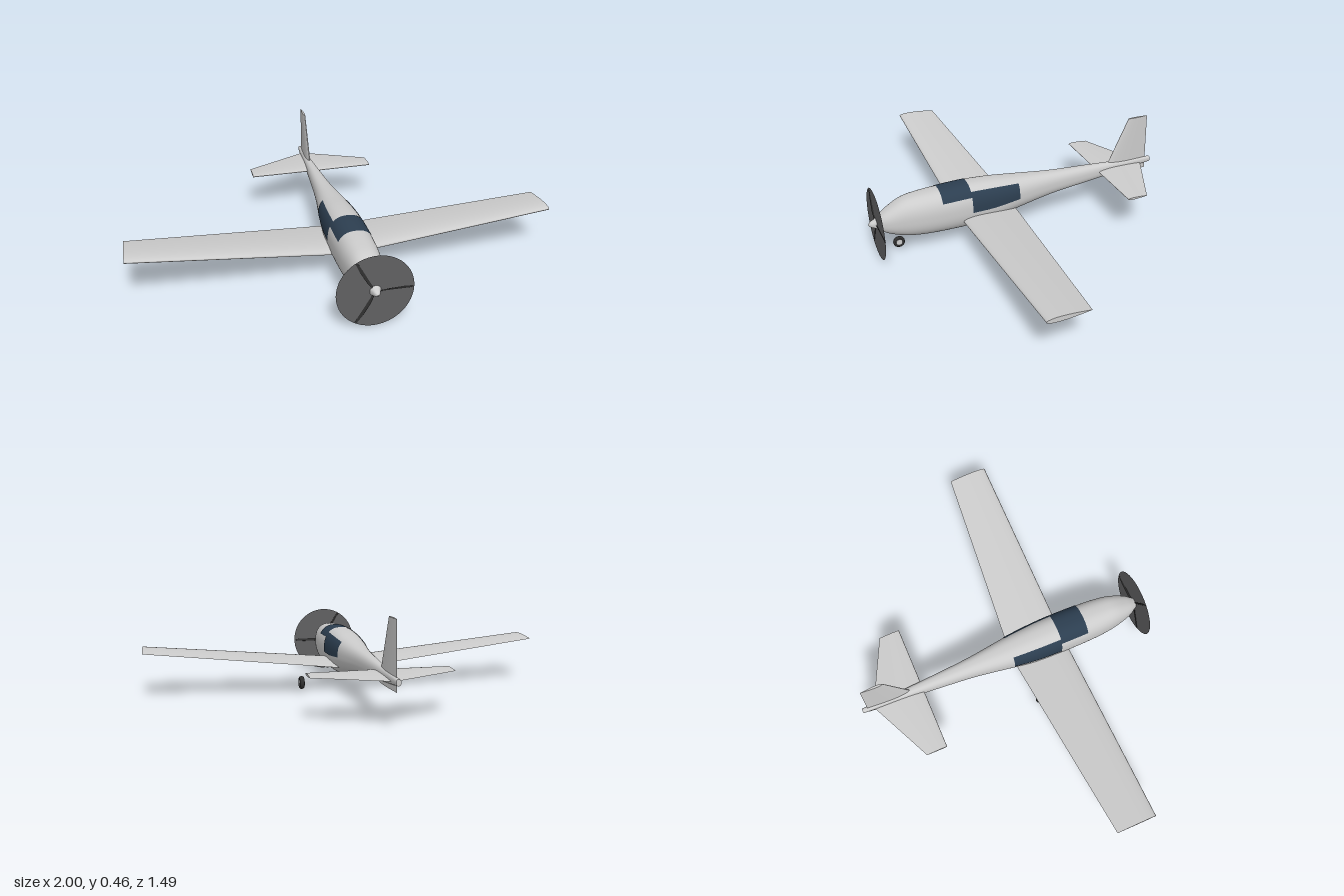
import * as THREE from 'three';

const mat = (name, color, double) => {
  const m = new THREE.MeshStandardMaterial({ color });
  m.name = name;
  if (double) m.side = THREE.DoubleSide;
  return m;
};

// Skin a list of equally long point rows; ends may be capped. Faces are turned outward.
function loft(rows, capped = true) {
  const n = rows[0].length, pos = [], idx = [];
  rows.forEach(r => r.forEach(p => pos.push(...p)));
  for (let i = 0; i < rows.length - 1; i++) {
    for (let j = 0; j < n - 1; j++) {
      const a = i * n + j, b = a + n;
      idx.push(a, a + 1, b, a + 1, b + 1, b);
    }
  }
  if (capped) {
    [rows[0], rows[rows.length - 1]].forEach((r, end) => {
      const c = pos.length / 3;
      const mid = [0, 1, 2].map(k => r.reduce((s, p) => s + p[k], 0) / n);
      pos.push(...mid);
      r.forEach(p => pos.push(...p));
      for (let j = 1; j < n; j++) idx.push(c, end ? c + j : c + j + 1, end ? c + j + 1 : c + j);
    });
  }
  // signed volume decides the winding
  let vol = 0;
  const v = i => new THREE.Vector3().fromArray(pos, idx[i] * 3);
  for (let i = 0; i < idx.length; i += 3) vol += v(i).dot(v(i + 1).cross(v(i + 2)));
  if (vol < 0) idx.reverse();
  const g = new THREE.BufferGeometry();
  g.setAttribute('position', new THREE.Float32BufferAttribute(pos, 3));
  g.setIndex(idx);
  g.computeVertexNormals();
  return g;
}

// Symmetric aerofoil loop from trailing edge round the nose and back: [u along chord, half thickness]
function aerofoil(thick, steps = 14) {
  const pts = [];
  for (let i = -steps; i <= steps; i++) {
    const u = (1 - Math.cos(Math.PI * i / steps)) / 2;
    const t = 5 * thick * (0.2969 * Math.sqrt(u) - 0.126 * u - 0.3516 * u * u + 0.2843 * u ** 3 - 0.1036 * u ** 4);
    pts.push([u, i < 0 ? t : -t]);
  }
  return pts;
}

// Fuselage stations: z, top y, bottom y, half width
const stations = [
  [0.747, 0.173, 0.171, 0.001], [0.735, 0.185, 0.159, 0.013], [0.71, 0.197, 0.148, 0.024],
  [0.663, 0.232, 0.118, 0.051], [0.584, 0.273, 0.09, 0.073], [0.504, 0.286, 0.078, 0.084],
  [0.408, 0.291, 0.073, 0.089], [0.265, 0.295, 0.072, 0.09], [0.145, 0.289, 0.078, 0.086],
  [0.018, 0.275, 0.107, 0.074], [-0.173, 0.256, 0.138, 0.048], [-0.372, 0.245, 0.157, 0.032],
  [-0.57, 0.234, 0.178, 0.019], [-0.743, 0.225, 0.197, 0.011],
];
const upper = new THREE.SplineCurve(stations.map(s => new THREE.Vector2(s[0], s[1])));
const lower = new THREE.SplineCurve(stations.map(s => new THREE.Vector2(s[2], s[3])));

// Point on the squarish fuselage skin at station s; angle runs from the top round to the left
function skin(s, angle, off = 0) {
  const t = s / (stations.length - 1);
  const { x: z, y: top } = upper.getPoint(t), { x: bottom, y: w } = lower.getPoint(t);
  const round = c => Math.sign(c) * Math.abs(c) ** 0.82;
  const h = (top - bottom) / 2 + off;
  return [(w + off) * round(Math.sin(angle)), (top + bottom) / 2 + h * round(Math.cos(angle)), z];
}

function skinPatch(s0, s1, a0, a1, off, capped) {
  const ns = Math.round((s1 - s0) * 6), na = Math.ceil(Math.abs(a1 - a0) * 11);
  const rows = [];
  for (let i = 0; i <= ns; i++) {
    const row = [];
    for (let j = 0; j <= na; j++) row.push(skin(s0 + (s1 - s0) * i / ns, a0 + (a1 - a0) * j / na, off));
    rows.push(row);
  }
  return loft(rows, capped);
}

export function createModel() {
  const model = new THREE.Group();
  model.name = 'aeroplane';
  const body = mat('bodyGrey', 0xcccccc);
  const glass = mat('windowBlue', 0x2c3e50, true);
  const discGrey = mat('propellerDiscGrey', 0x606062, true);
  const dark = mat('darkRubber', 0x2e2e2e);
  const add = (name, geo, material, parent = model) => {
    const m = new THREE.Mesh(geo, material);
    m.name = name;
    parent.add(m);
    return m;
  };

  // Fuselage and windows
  add('fuselage', skinPatch(0, stations.length - 1, -Math.PI, Math.PI, 0, true), body);
  add('windscreen', skinPatch(6, 7, -1.03, 1.03, 0.002, false), glass);

  for (const side of [1, -1]) {
    const label = side > 0 ? 'left' : 'right';
    add(label + 'Window', skinPatch(7, 9, side * 0.73, side * 1.63, 0.002, false), glass);

    // Wing: straight leading edge, tapered trailing edge, dihedral
    const wing = [[0, 0.122, 0.03, 0.042], [1, 0.221, 0.117, 0.024]].map(([x, y, te, th]) =>
      aerofoil(th).map(([u, t]) => [side * x, y + t, 0.312 + (te - 0.312) * u]));
    add(label + 'Wing', loft(wing), body);

    // Tailplane
    const tail = [[0, -0.69, 0.02], [0.32, -0.54, 0.011]].map(([x, te, th]) =>
      aerofoil(th).map(([u, t]) => [side * x, 0.205 + t, -0.438 + (te + 0.438) * u]));
    add(label + 'Tailplane', loft(tail), body);
  }

  // Fin
  const fin = [[0.165, -0.468, -0.72, 0.022], [0.462, -0.604, -0.711, 0.011]].map(([y, le, te, th]) =>
    aerofoil(th).map(([u, t]) => [t, y, le + (te - le) * u]));
  add('fin', loft(fin), body);

  // Propeller: spinning disc and three twisted blades
  const propeller = new THREE.Group();
  propeller.name = 'propeller';
  propeller.position.set(0, 0.17, 0.71);
  model.add(propeller);
  add('propellerDisc', new THREE.CircleGeometry(0.17, 64), discGrey, propeller);
  const blade = loft([[0.015, 0.012, 0.8], [0.06, 0.022, 0.6], [0.12, 0.02, 0.4], [0.165, 0.009, 0.3]].map(([r, c, pitch]) =>
    aerofoil(0.004, 8).map(([u, t]) => {
      const k = (u - 0.5) * c, cos = Math.cos(pitch), sin = Math.sin(pitch);
      return [r, k * cos - t * sin, k * sin + t * cos];
    })));
  for (let i = 0; i < 3; i++) add('blade', blade, dark, propeller).rotation.z = i * Math.PI * 2 / 3;

  // Wheels
  const wheel = (name, x, y, z, r) => {
    const g = new THREE.Group();
    g.name = name;
    g.position.set(x, y, z);
    g.rotation.y = Math.PI / 2;
    add('tyre', new THREE.TorusGeometry(r * 0.75, r * 0.25, 12, 32), dark, g).scale.z = 1.5;
    add('hub', new THREE.CylinderGeometry(r * 0.55, r * 0.55, r * 0.55, 24).rotateX(Math.PI / 2), body, g);
    model.add(g);
  };
  wheel('noseWheel', 0, 0.046, 0.61, 0.028);
  wheel('leftWheel', 0.242, 0.051, 0.094, 0.032);
  wheel('rightWheel', -0.242, 0.051, 0.094, 0.032);

  return model;
}
